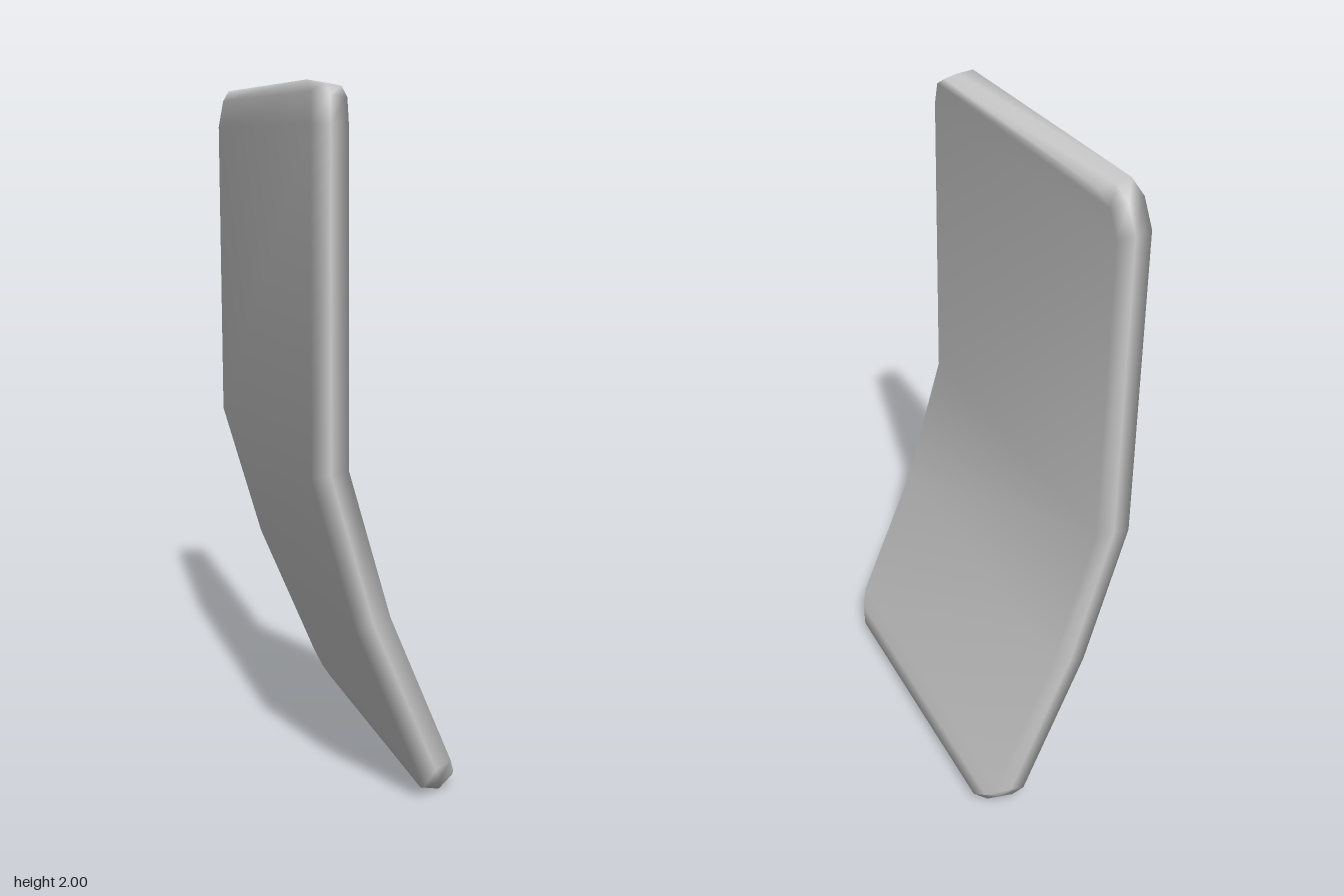
import * as THREE from 'three';

// Stations from top to bottom: rear x, rear y, front x, front y, half width.
const STATIONS = [
  [-0.21, 2.0, -0.117, 1.985, 0.45],
  [-0.216, 1.97, -0.119, 1.955, 0.505],
  [-0.225, 1.89, -0.124, 1.885, 0.535],
  [-0.225, 0.97, -0.12, 0.985, 0.53],
  [-0.1, 0.535, 0.0, 0.565, 0.53],
  [0.09, 0.08, 0.185, 0.12, 0.53],
  [0.112, 0.03, 0.206, 0.07, 0.5],
  [0.125, 0.008, 0.222, 0.035, 0.45],
];

// Bent slab with rounded corners, lofted through six-sided sections.
function bentPanelGeometry() {
  const positions = [];
  const index = [];
  const last = STATIONS.length - 1;
  const quad = (a, b, c, d) => index.push(a, b, c, a, c, d);

  STATIONS.forEach(([rx, ry, fx, fy, w], k) => {
    const mx = (rx + fx) / 2 + (k === last ? 0.005 : 0);
    const my = k === last ? 0 : (ry + fy) / 2;
    const edge = w + 0.008; // side walls bulge slightly
    positions.push(
      rx, ry, -w, mx, my, -edge, fx, fy, -w,
      fx, fy, w, mx, my, edge, rx, ry, w,
    );
  });

  // faces and side walls
  for (let k = 0; k < last; k++) {
    for (let j = 0; j < 6; j++) {
      const n = (j + 1) % 6;
      quad(k * 6 + j, k * 6 + n, k * 6 + 6 + n, k * 6 + 6 + j);
    }
  }

  // top and bottom edges
  const b = last * 6;
  quad(0, 5, 4, 1);
  quad(1, 4, 3, 2);
  quad(b, b + 1, b + 4, b + 5);
  quad(b + 1, b + 2, b + 3, b + 4);

  const geometry = new THREE.BufferGeometry();
  geometry.setAttribute('position', new THREE.Float32BufferAttribute(positions, 3));
  geometry.setIndex(index);
  geometry.computeVertexNormals();
  return geometry;
}

export function createModel() {
  const group = new THREE.Group();
  group.name = 'bentPanel';
  const panel = new THREE.Mesh(
    bentPanelGeometry(),
    new THREE.MeshStandardMaterial({ color: 0xcccccc }),
  );
  panel.name = 'panel';
  group.add(panel);
  return group;
}
